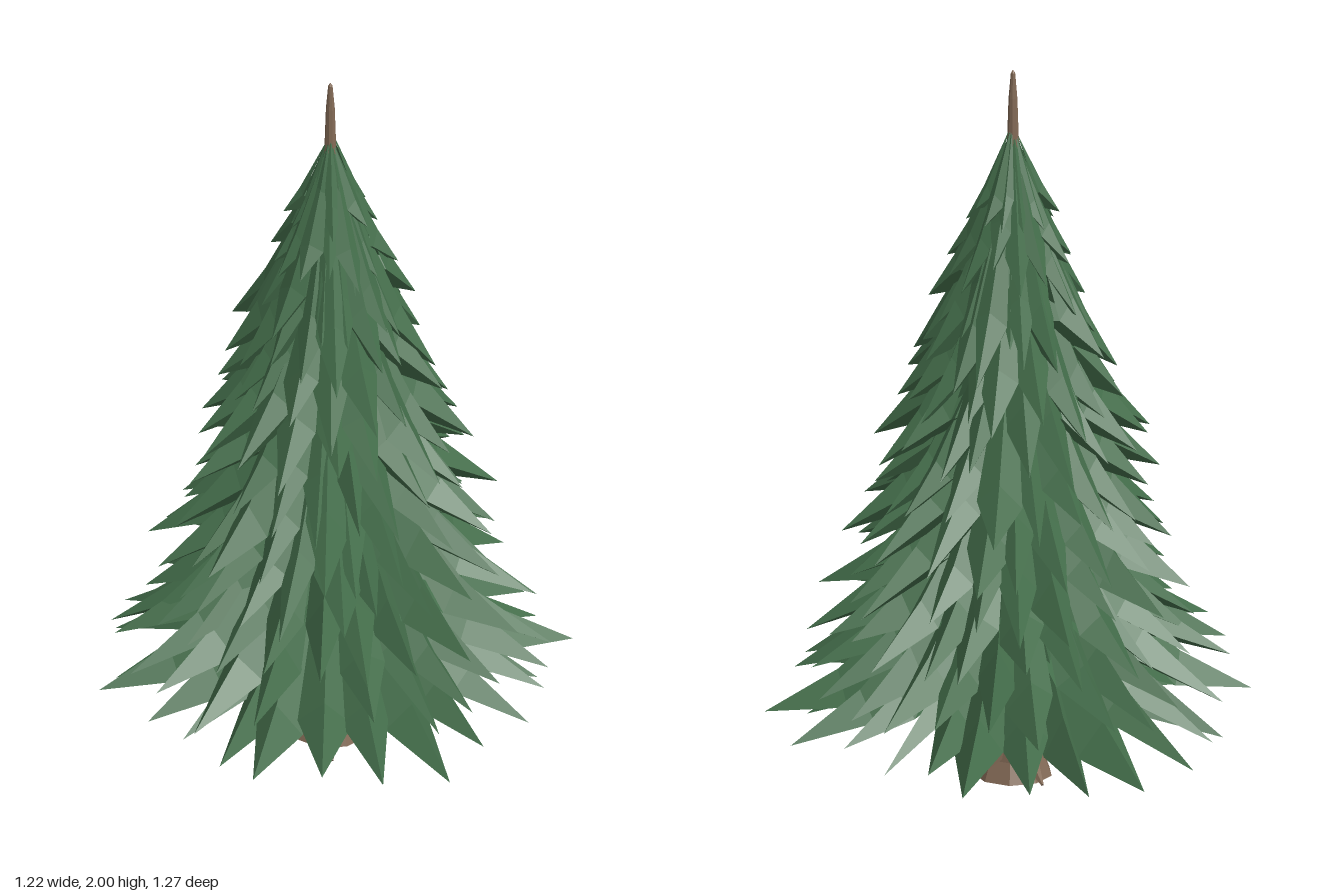
import * as THREE from 'three';

const CX = 0.02, CZ = 0.025; // trunk axis

// small seeded generator for natural variation
function seeded(seed) {
  return () => {
    seed = (seed * 16807) % 2147483647;
    return seed / 2147483647;
  };
}

// one ring of steep, deeply folded boughs, closed by a shallow underside
function boughTier({ count, radius, tipY, drop, curve, phase }, rand) {
  const pos = [];
  const tri = (...pts) => pts.forEach((p) => pos.push(p.x, p.y, p.z));
  const at = (a, r, y) => new THREE.Vector3(Math.sin(a) * r, y, Math.cos(a) * r);
  for (let i = 0; i < count; i++) {
    const a = phase + ((i + (rand() - 0.5) * 0.5) / count) * Math.PI * 2;
    const r = radius * (0.86 + rand() * 0.19);
    const y = tipY + (rand() - 0.5) * 0.09;
    const rootY = tipY + drop + rand() * 0.02;
    const s = 0.61 + rand() * 0.1;
    const ridgeY = y + (rootY - y) * Math.pow(1 - s, curve);
    const shoulder = (side) => {
      const half = (Math.PI / count) * (1.05 + rand() * 0.35);
      const fold = (0.005 + 0.12 * radius) * (0.6 + rand() * 0.8);
      return at(a + side * half, r * (s - 0.02), Math.max(ridgeY - fold, y + 0.03));
    };
    const root = at(a, 0.008, rootY);
    const base = at(a, 0.008, tipY + 0.02 + 0.27 * radius);
    const ridge = at(a, r * s, ridgeY);
    const left = shoulder(1), right = shoulder(-1);
    const tip = at(a, r, y);
    tri(root, ridge, left);
    tri(root, right, ridge);
    tri(ridge, tip, left);
    tri(ridge, right, tip);
    tri(base, left, tip);
    tri(base, tip, right);
  }
  const geo = new THREE.BufferGeometry();
  geo.setAttribute('position', new THREE.Float32BufferAttribute(pos, 3));
  geo.computeVertexNormals();
  return geo;
}

// tapered spike between two points
function spike(name, from, to, r0, r1, sides, material) {
  const a = new THREE.Vector3(...from), b = new THREE.Vector3(...to);
  const dir = b.clone().sub(a);
  const mesh = new THREE.Mesh(new THREE.CylinderGeometry(r1, r0, dir.length(), sides), material);
  mesh.name = name;
  mesh.position.copy(a).add(b).multiplyScalar(0.5);
  mesh.quaternion.setFromUnitVectors(new THREE.Vector3(0, 1, 0), dir.normalize());
  return mesh;
}

export function createModel() {
  const needles = new THREE.MeshStandardMaterial({ color: 0x446e4b, side: THREE.DoubleSide, flatShading: true });
  needles.name = 'needle green';
  const bark = new THREE.MeshStandardMaterial({ color: 0x836a56, side: THREE.DoubleSide, flatShading: true });
  bark.name = 'bark brown';
  const tree = new THREE.Group();
  tree.name = 'firTree';
  const rand = seeded(4711);

  // trunk, open below, flared at the foot and running up to the bare leader
  const profile = [[0.106, 0.004], [0.084, 0.06], [0.072, 0.15], [0.068, 0.3],
    [0.05, 0.8], [0.025, 1.5], [0.015, 1.83], [0.012, 1.92], [0.006, 1.99], [0, 2]];
  const trunk = new THREE.Mesh(
    new THREE.LatheGeometry(profile.map(([r, y]) => new THREE.Vector2(r, y)), 9), bark);
  trunk.name = 'trunk';
  trunk.position.set(CX, 0, CZ);
  tree.add(trunk);

  // roots
  const roots = new THREE.Group();
  roots.name = 'roots';
  [[0.235, 0.03], [0.08, 0.22], [-0.11, 0.14], [-0.115, -0.08], [0.07, -0.18]].forEach(([x, z], i) => {
    const a = Math.atan2(x - CX, z - CZ);
    const from = [CX + Math.sin(a) * 0.05, 0.1, CZ + Math.cos(a) * 0.05];
    roots.add(spike(`root${i + 1}`, from, [x, 0.025, z], 0.036, 0.004, 5, bark));
  });
  tree.add(roots);

  // dead twigs on the lower trunk
  const twigs = new THREE.Group();
  twigs.name = 'twigs';
  [[0.15, 0.03, 0.13], [-0.075, 0.05, 0.14], [0.05, 0.13, 0.135], [0, -0.09, 0.14], [0.1, -0.05, 0.19]]
    .forEach(([x, z, y], i) => {
      twigs.add(spike(`twig${i + 1}`, [CX, y + 0.01, CZ], [x, y, z], 0.009, 0.002, 4, bark));
    });
  tree.add(twigs);

  // foliage tiers from the lowest skirt to the crown
  const foliage = new THREE.Group();
  foliage.name = 'foliage';
  foliage.position.set(CX, 0, CZ);
  const radii = [0.63, 0.575, 0.53, 0.49, 0.45, 0.41, 0.37, 0.32, 0.275, 0.225, 0.175, 0.123];
  const top = radii.length - 1;
  radii.forEach((radius, i) => {
    const tier = new THREE.Mesh(boughTier({
      count: Math.round(24 - 12 * (i / top)),
      radius,
      tipY: 0.18 + i * 0.1265,
      drop: Math.min(0.55, 0.25 + (top - i) * 0.1),
      curve: 1.25 - 0.2 * (i / top),
      phase: i * 2.4,
    }, rand), needles);
    tier.name = `boughTier${i + 1}`;
    foliage.add(tier);
  });
  tree.add(foliage);
  return tree;
}
